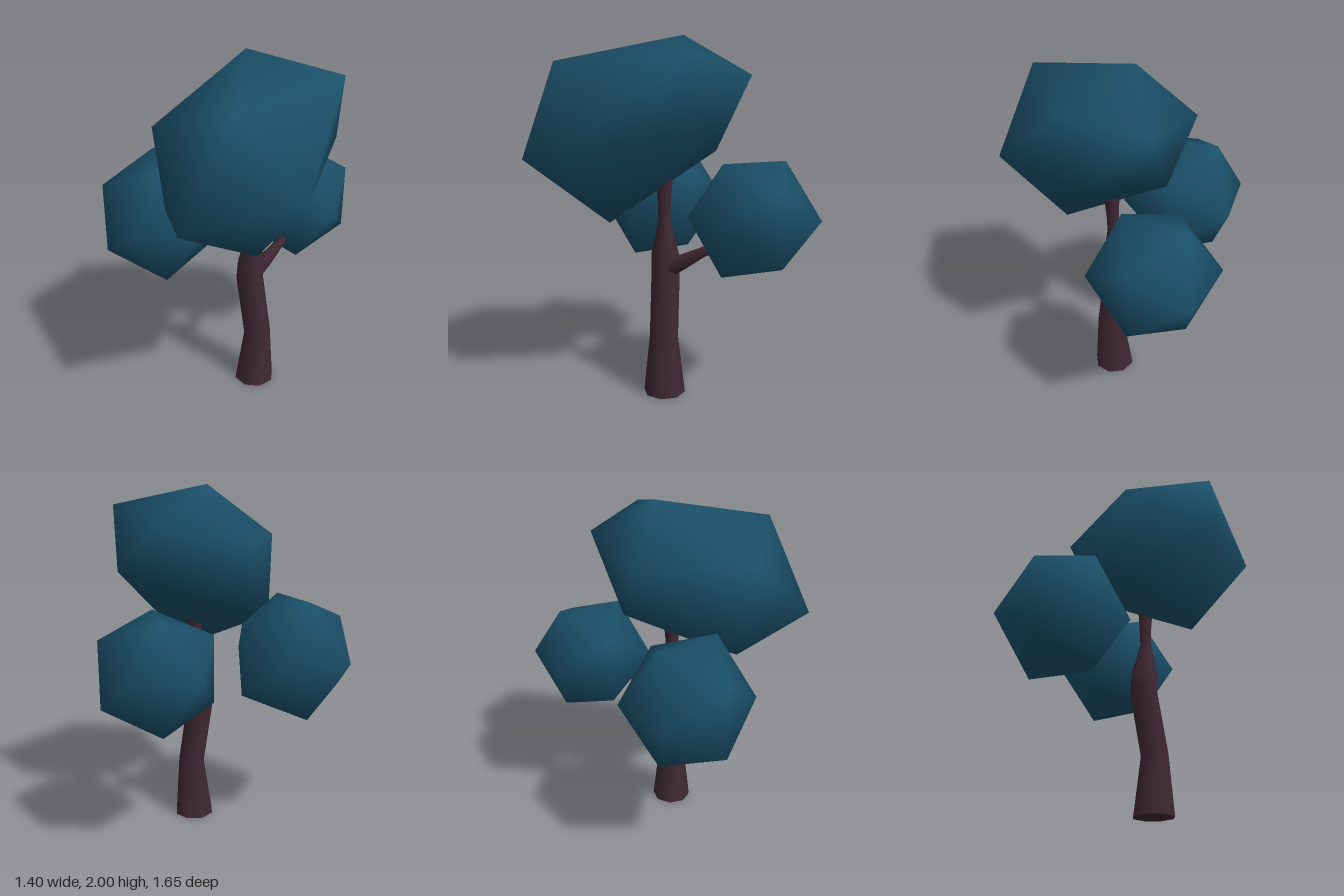
import * as THREE from 'three';

const leafMaterial = new THREE.MeshStandardMaterial({ color: 0x1b506a });
const barkMaterial = new THREE.MeshStandardMaterial({ color: 0x3f2832 });

function buildMesh(name, points, index, material) {
  const geometry = new THREE.BufferGeometry();
  geometry.setAttribute('position', new THREE.Float32BufferAttribute(points.flat(), 3));
  geometry.setIndex(index);
  geometry.computeVertexNormals();
  const mesh = new THREE.Mesh(geometry, material);
  mesh.name = name;
  return mesh;
}

// Twenty-sided clump: back pole, back ring of 5, front ring of 5, front pole
function clump(name, points) {
  const index = [];
  for (let i = 0; i < 5; i++) {
    const j = (i + 1) % 5;
    const b0 = 1 + i, b1 = 1 + j, f0 = 6 + i, f1 = 6 + j;
    index.push(0, b0, b1, b0, f0, b1, b1, f0, f1, 11, f1, f0);
  }
  return buildMesh(name, points, index, leafMaterial);
}

// Regular clump with its poles along z
function roundClump(name, radius) {
  const ringRadius = radius * 0.894, offset = radius * 0.447;
  const ring = (start, z) => Array.from({ length: 5 }, (_, i) => {
    const a = THREE.MathUtils.degToRad(start - 72 * i);
    return [ringRadius * Math.cos(a), ringRadius * Math.sin(a), z];
  });
  return clump(name, [[0, 0, -radius], ...ring(180, -offset), ...ring(144, offset), [0, 0, radius]]);
}

// Tapered limb through sections [x, y, z, radius]; rings lie across the given normal
function limb(name, sections, sides, normal) {
  const turn = new THREE.Quaternion().setFromUnitVectors(
    new THREE.Vector3(0, 1, 0), new THREE.Vector3(...normal).normalize());
  const points = [], index = [];
  sections.forEach(([x, y, z, r], s) => {
    for (let i = 0; i < sides; i++) {
      const a = (i / sides) * Math.PI * 2;
      const p = new THREE.Vector3(r * Math.cos(a), 0, r * Math.sin(a)).applyQuaternion(turn);
      points.push([x + p.x, y + p.y, z + p.z]);
      if (s === 0) continue;
      const j = (i + 1) % sides, lo = (s - 1) * sides, hi = s * sides;
      index.push(lo + i, hi + i, lo + j, lo + j, hi + i, hi + j);
    }
  });
  return buildMesh(name, points, index, barkMaterial);
}

export function createModel() {
  const tree = new THREE.Group();
  tree.name = 'tree';

  // Bent trunk with a flat foot
  tree.add(limb('trunk', [
    [0.23, 0, 0.02, 0.119],
    [0.245, 0.34, 0.02, 0.081],
    [0.187, 0.7, 0.02, 0.081],
    [0.193, 0.8, 0.02, 0.08],
    [0.207, 1.0, 0.022, 0.034],
    [0.207, 1.1, 0.022, 0.036],
    [0.215, 1.32, 0.02, 0.053],
  ], 8, [0, 1, 0]));
  const foot = new THREE.Mesh(new THREE.CircleGeometry(0.119, 8), barkMaterial);
  foot.name = 'trunkBase';
  foot.rotation.x = Math.PI / 2;
  foot.position.set(0.23, 0, 0.02);
  tree.add(foot);

  // Side branch reaching into the back clump
  tree.add(limb('branch', [
    [0.2, 0.73, 0.01, 0.06],
    [0.235, 0.775, -0.085, 0.043],
    [0.27, 0.845, -0.2, 0.028],
    [0.29, 0.9, -0.31, 0.027],
  ], 6, [0.25, 0.45, -0.85]));

  // Small clumps behind and beside the trunk
  const back = roundClump('backFoliage', 0.36);
  back.position.set(0.23, 1.03, -0.47);
  tree.add(back);

  const side = roundClump('rightFoliage', 0.377);
  side.scale.y = 1.06;
  side.rotation.y = 0.187;
  side.position.set(-0.35, 1.03, 0.14);
  tree.add(side);

  // Large leaning crown
  tree.add(clump('crownFoliage', [
    [0.23, 1.79, -0.445],
    [-0.22, 1.69, -0.16], [0.095, 2.0, -0.065], [0.595, 1.89, -0.21], [0.545, 1.53, -0.28], [0.015, 1.37, -0.24],
    [-0.12, 1.7, 0.5], [0.385, 1.86, 0.57], [0.69, 1.43, 0.42], [0.37, 1.013, 0.29], [-0.13, 1.21, 0.4],
    [0.235, 1.325, 0.825],
  ]));

  return tree;
}
